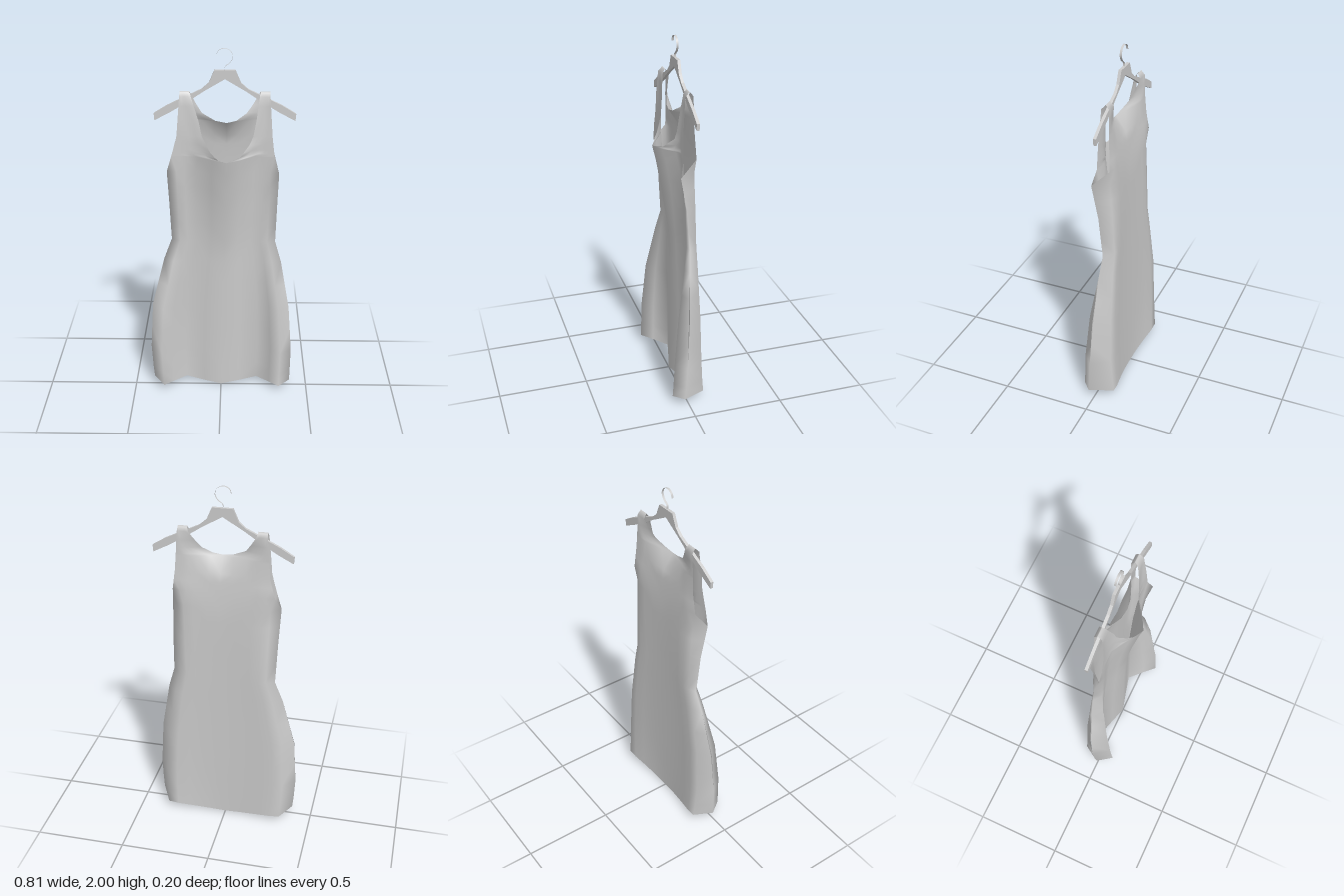
import * as THREE from 'three';
import { mergeVertices, mergeGeometries } from 'three/addons/utils/BufferGeometryUtils.js';

// Linear lookup in rows of [key, ...values]
function sample(table, key) {
  if (key <= table[0][0]) return table[0].slice(1);
  for (let i = 1; i < table.length; i++) {
    const a = table[i - 1], b = table[i];
    if (key <= b[0]) {
      const t = (key - a[0]) / (b[0] - a[0]);
      return a.slice(1).map((v, k) => v + (b[k + 1] - v) * t);
    }
  }
  return table[table.length - 1].slice(1);
}

// Side outline: [y, x on right, x on left]
const OUTER = [
  [0, -0.39, 0.4], [0.25, -0.405, 0.405], [0.52, -0.39, 0.385], [0.8, -0.32, 0.335], [0.92, -0.275, 0.3],
  [1.34, -0.29, 0.31], [1.4, -0.27, 0.288], [1.53, -0.235, 0.272], [1.775, -0.215, 0.255],
];
// Centre line, opening into the neckline: [y, x on right, x on left]
const FRONT_INNER = [
  [0, 0, 0], [1.34, 0.03, 0.03], [1.425, 0.03, 0.03], [1.431, -0.013, 0.06], [1.443, -0.03, 0.103],
  [1.463, -0.055, 0.12], [1.495, -0.075, 0.15], [1.54, -0.1, 0.17], [1.62, -0.117, 0.185], [1.775, -0.165, 0.205],
];
const BACK_INNER = [
  [0, 0, 0], [1.34, 0.03, 0.03], [1.615, 0.03, 0.03], [1.625, -0.03, 0.08], [1.66, -0.1, 0.135],
  [1.74, -0.155, 0.195], [1.775, -0.165, 0.205],
];
// Depth at each height, from side seam to centre: [y, z at each column]
const COLUMNS = [0, 0.16, 0.3, 0.48, 0.75, 1];
const FRONT_Z = [
  [0, 0.012, 0.08, 0.018, -0.055, -0.028, 0],
  [0.25, 0, 0.07, 0.012, -0.052, -0.027, -0.002],
  [0.52, -0.01, 0.045, 0, -0.046, -0.023, 0],
  [0.8, -0.03, 0, -0.018, -0.038, -0.015, 0],
  [0.92, -0.04, -0.02, -0.026, -0.033, -0.01, 0.01],
  [1.15, -0.02, -0.01, -0.015, -0.02, 0.012, 0.045],
  [1.34, 0.015, 0.003, -0.004, -0.004, 0.042, 0.08],
  [1.54, 0.008, 0.004, 0, 0, 0.006, 0.013],
  [1.75, -0.007, -0.008, -0.009, -0.01, -0.012, -0.014],
  [1.775, -0.03, -0.03, -0.03, -0.03, -0.03, -0.03],
];
// Draped fold beside the front neckline: [x, z]
const DRAPE = [
  [-0.3, 0.008], [-0.2, 0], [-0.13, 0.002], [-0.1, 0.013], [-0.03, 0.07], [0.03, 0.1],
  [0.1, 0.062], [0.15, 0.015], [0.2, 0], [0.3, 0.01],
];
const BACK_Z = [
  [0, 0.012, -0.1, -0.097, -0.085, -0.072, -0.068],
  [0.25, 0, -0.085, -0.09, -0.08, -0.07, -0.07],
  [0.8, -0.03, -0.075, -0.08, -0.075, -0.07, -0.07],
  [0.92, -0.04, -0.075, -0.08, -0.075, -0.07, -0.07],
  [1.15, -0.02, -0.065, -0.075, -0.075, -0.07, -0.07],
  [1.34, 0.015, -0.055, -0.07, -0.07, -0.07, -0.065],
  [1.425, -0.06, -0.07, -0.07, -0.065, -0.06, -0.06],
  [1.53, -0.055, -0.055, -0.055, -0.05, -0.05, -0.045],
  [1.615, -0.05, -0.05, -0.045, -0.035, -0.015, 0.01],
  [1.66, -0.05, -0.05, -0.045, -0.04, -0.03, -0.02],
  [1.75, -0.05, -0.05, -0.05, -0.05, -0.05, -0.05],
  [1.775, -0.03, -0.03, -0.03, -0.03, -0.03, -0.03],
];
const ROWS = [0, 0.12, 0.25, 0.38, 0.52, 0.66, 0.8, 0.92, 1.03, 1.15, 1.25, 1.34];
const FRONT_TOP = [1.425, 1.431, 1.443, 1.463, 1.495, 1.54, 1.62, 1.7, 1.75, 1.768, 1.775];
const BACK_TOP = [1.425, 1.48, 1.53, 1.615, 1.625, 1.66, 1.7, 1.75, 1.768, 1.775];

// One quarter of the dress: a cloth grid between the side outline and the centre
function clothPanel(side, back) {
  const rows = ROWS.concat(back ? BACK_TOP : FRONT_TOP);
  const n = COLUMNS.length, positions = [], index = [];
  rows.forEach((y, i) => {
    const outer = sample(OUTER, y)[side];
    const inner = sample(back ? BACK_INNER : FRONT_INNER, y)[side];
    const depth = sample(back ? BACK_Z : FRONT_Z, y);
    const draped = !back && y > 1.4 && y < 1.55;
    // side seams hang slightly twisted, one forward and one back
    if (i < ROWS.length) depth[0] += side ? 0.015 : -0.015;
    COLUMNS.forEach((s, j) => {
      const x = outer + (inner - outer) * s;
      const hem = i === 0 ? 0.05 * (1 - s) ** 1.5 : 0; // curved hem
      positions.push(x, y + hem, draped ? sample(DRAPE, x)[0] : depth[j]);
      if (i === rows.length - 1 || j === n - 1) return;
      const a = i * n + j, b = a + 1, c = a + n, d = c + 1;
      if ((side === 1) !== back) index.push(a, c, b, b, c, d);
      else index.push(a, b, c, b, d, c);
    });
  });
  const g = new THREE.BufferGeometry();
  g.setAttribute('position', new THREE.Float32BufferAttribute(positions, 3));
  g.setIndex(index);
  return g;
}

// Flat ribbon along a curve in the xy plane, with its width along z
function ribbon(curve, steps, z, width) {
  const positions = [], index = [];
  curve.getPoints(steps).forEach((p, i) => {
    positions.push(p.x, p.y, z - width / 2, p.x, p.y, z + width / 2);
    const a = i * 2;
    if (i < steps) index.push(a, a + 1, a + 2, a + 1, a + 3, a + 2);
  });
  const g = new THREE.BufferGeometry();
  g.setAttribute('position', new THREE.Float32BufferAttribute(positions, 3));
  g.setIndex(index);
  g.computeVertexNormals();
  return g;
}

export function createModel() {
  const group = new THREE.Group();
  const grey = new THREE.MeshStandardMaterial({ color: 0xcccccc, side: THREE.DoubleSide });
  grey.name = 'grey';
  const add = (name, geometry) => {
    const mesh = new THREE.Mesh(geometry, grey);
    mesh.name = name;
    group.add(mesh);
  };

  // Dress, with panels welded at the seams and over the shoulders
  const panels = [0, 1].flatMap((side) => [clothPanel(side, false), clothPanel(side, true)]);
  const dress = mergeVertices(mergeGeometries(panels), 1e-4);
  dress.computeVertexNormals();
  add('dress', dress);

  // Flat hanger, mirrored about x = 0.02
  const cx = 0.02;
  const top = [[0.055, 1.886], [0.083, 1.82], [0.12, 1.787], [0.3, 1.7], [0.373, 1.655]];
  const under = [[0.37, 1.618], [0.29, 1.66], [0.2, 1.715], [0.11, 1.775]];
  const half = [...top, ...under];
  const outline = [
    ...half.map(([x, y]) => new THREE.Vector2(cx + x, y)),
    new THREE.Vector2(cx, 1.84),
    ...half.slice().reverse().map(([x, y]) => new THREE.Vector2(cx - x, y)),
  ];
  const hanger = new THREE.ExtrudeGeometry(new THREE.Shape(outline), { depth: 0.016, bevelEnabled: false });
  hanger.translate(0, 0, -0.038);
  add('hanger', hanger);

  // Hook bent from a flat strip
  const path = [[0.02, 1.88], [0.02, 1.905], [0.045, 1.925], [0.06, 1.955], [0.047, 1.987],
    [0.015, 2], [-0.015, 1.986], [-0.024, 1.962]];
  const curve = new THREE.SplineCurve(path.map(([x, y]) => new THREE.Vector2(x, y)));
  add('hook', ribbon(curve, 28, -0.028, 0.012));
  return group;
}
